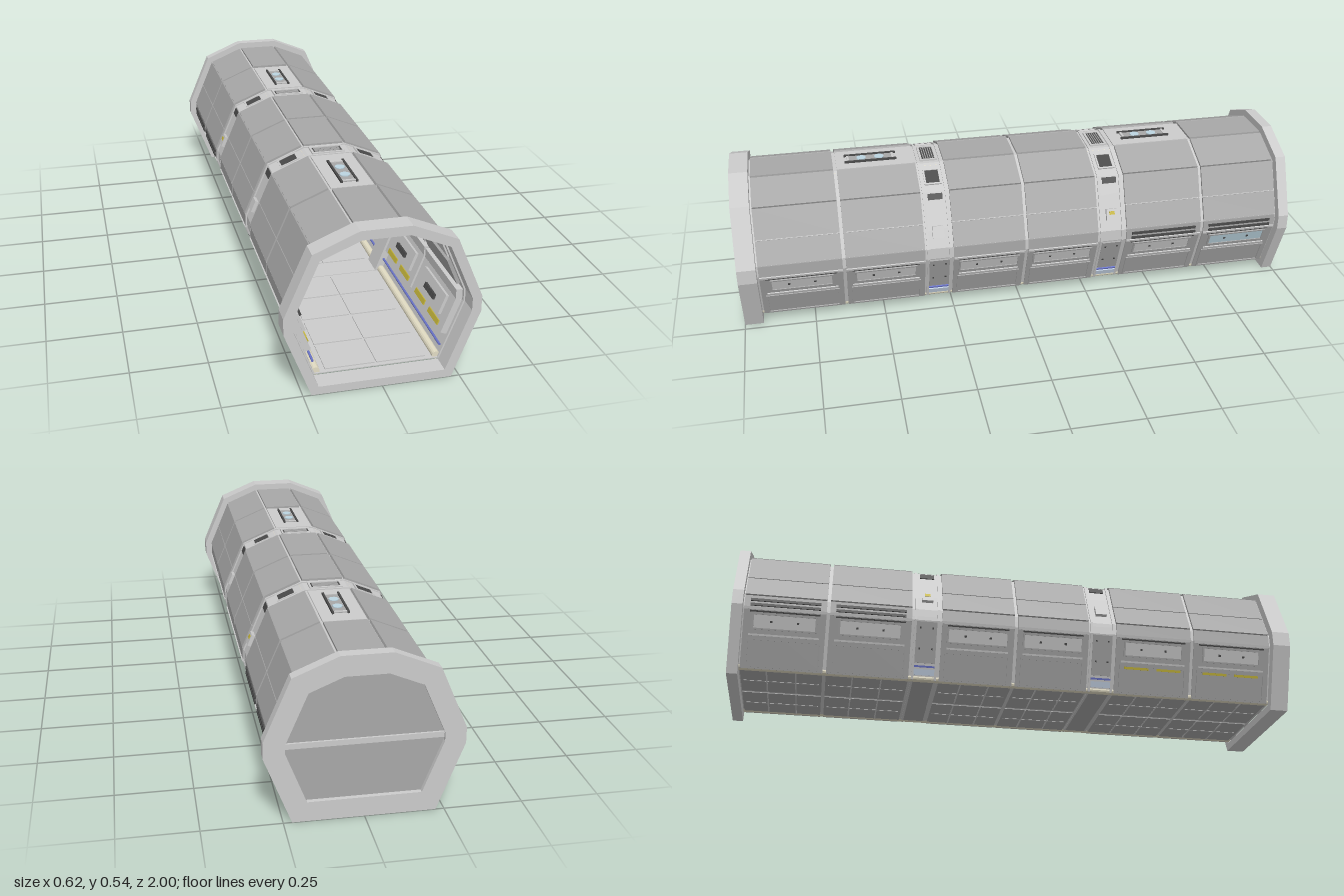
import * as THREE from 'three';

const mat = (color) => new THREE.MeshStandardMaterial({ color, flatShading: true });
const M = {
  grey: mat(0xcccccc), panel: mat(0xa8a8a8), dark: mat(0x4a4a4a), cream: mat(0xe2dcc4),
  blue: mat(0x6a74c8), yellow: mat(0xc8b83c), glass: mat(0xbcd4e0), steel: mat(0xc2d0e2),
};

// Cross-section of the end collars, counter-clockwise from the bottom right
const half = [[0.223, 0], [0.309, 0.222], [0.309, 0.275], [0.223, 0.476], [0.08, 0.536]];
const P = [...half, ...half.map(([x, y]) => [-x, y]).reverse()].map(([x, y]) => new THREE.Vector2(x, y));
const N = P.length;

// Section moved inwards by d, with its floor at height `floor`
function section(d, floor) {
  const lines = P.map((a, i) => {
    const dir = P[(i + 1) % N].clone().sub(a).normalize();
    const inward = new THREE.Vector2(-dir.y, dir.x);
    return { p: a.clone().addScaledVector(inward, i === N - 1 ? floor : d), dir };
  });
  return lines.map((l, i) => {
    const k = lines[(i + N - 1) % N];
    const t = l.p.clone().sub(k.p).cross(l.dir) / k.dir.cross(l.dir);
    return k.p.clone().addScaledVector(k.dir, t);
  });
}

export function createModel() {
  const root = new THREE.Group();
  let parent = root;

  function add(name, geo, m) {
    const mesh = new THREE.Mesh(geo, m);
    mesh.name = name;
    parent.add(mesh);
    return mesh;
  }
  function group(name) {
    parent = new THREE.Group();
    parent.name = name;
    root.add(parent);
  }
  function box(name, m, x, y, z, w, h, l) {
    return add(name, new THREE.BoxGeometry(w, h, l), m).position.set(x, y, z);
  }
  // Hollow or solid prism along z
  function prism(name, m, outer, inner, z0, z1) {
    const s = new THREE.Shape(outer);
    if (inner) s.holes.push(new THREE.Path(inner));
    const g = new THREE.ExtrudeGeometry(s, { depth: z1 - z0, bevelEnabled: false });
    return add(name, g.translate(0, 0, z0), m);
  }
  // Slab on one face of the section, from depth d0 to d1, t0..t1 along the face
  function slab(name, m, e, d0, d1, t0, t1, z0, z1) {
    const s = section(d0, 0.03), a = s[e], b = s[(e + 1) % N];
    const dir = b.clone().sub(a), len = dir.length();
    const c = a.clone().lerp(b, (t0 + t1) / 2);
    dir.normalize();
    c.addScaledVector(new THREE.Vector2(-dir.y, dir.x), (d1 - d0) / 2);
    const mesh = add(name, new THREE.BoxGeometry(len * (t1 - t0), d1 - d0, Math.abs(z1 - z0)), m);
    mesh.position.set(c.x, c.y, (z0 + z1) / 2);
    mesh.rotation.z = Math.atan2(dir.y, dir.x);
    return mesh;
  }
  // Same slab on both sides
  function pair(name, m, e, d0, d1, t0, t1, z0, z1) {
    slab(name, m, e, d0, d1, t0, t1, z0, z1);
    slab(name, m, 8 - e, d0, d1, 1 - t1, 1 - t0, z0, z1);
  }
  // Rectangular rim on a face, both sides
  function rim(name, m, e, d0, d1, t0, t1, z0, z1, wt, wz) {
    pair(name, m, e, d0, d1, t0, t0 + wt, z0, z1);
    pair(name, m, e, d0, d1, t1 - wt, t1, z0, z1);
    pair(name, m, e, d0, d1, t0 + wt, t1 - wt, z0, z0 + wz);
    pair(name, m, e, d0, d1, t0 + wt, t1 - wt, z1 - wz, z1);
  }

  // Shell and end collars
  group('shell');
  prism('hullShell', M.grey, section(0.03, 0.033), section(0.035, 0.036), -0.97, 0.94);
  prism('frontCollar', M.grey, P, section(0.03, 0.027), 0.935, 1);
  prism('backCollar', M.grey, P, section(0.066, 0.065), -1, -0.963);

  // Closed back bulkhead with cross bars
  group('backDoor');
  prism('doorPanel', M.panel, section(0.064, 0.063), null, -0.985, -0.975);
  box('doorCrossBar', M.grey, 0, 0.253, -0.98, 0.486, 0.018, 0.024);
  box('doorCentreBar', M.grey, 0, 0.267, -0.97, 0.011, 0.406, 0.01);

  const bays = [[0.635, 0.935], [0.345, 0.635], [-0.015, 0.255], [-0.285, -0.015], [-0.675, -0.38], [-0.965, -0.675]];
  bays.forEach(([b0, b1], k) => {
    const z0 = b0 + 0.006, z1 = b1 - 0.006, zc = (z0 + z1) / 2;

    // Outer cladding
    group('outerBay');
    pair('upperSidePanel', M.panel, 2, 0.022, 0.031, 0.02, 0.44, z0, z1);
    pair('upperSidePanel', M.panel, 2, 0.022, 0.031, 0.455, 0.985, z0, z1);
    pair('roofSlopePanel', M.panel, 3, 0.022, 0.031, 0.015, 0.965, z0, z1);
    const hatch = k === 1 || k === 4;
    slab('roofPanel', hatch ? M.grey : M.panel, 4, hatch ? 0.026 : 0.022, 0.031, 0.03, 0.97, z0, z1);
    pair('waistPanel', M.panel, 1, 0.025, 0.031, 0, 1, z0, z1);
    pair('lowerSidePanel', M.panel, 0, 0.026, 0.031, 0, 1, z0, z1);
    pair('waistRail', M.grey, 0, 0.021, 0.027, 0.955, 1, z0, z1);
    pair('waistShadowStrip', M.dark, 0, 0.024, 0.027, 0.92, 0.945, z0 + 0.02, z1 - 0.02);
    pair('lowerRail', M.grey, 0, 0.022, 0.027, 0.53, 0.56, z0 + 0.02, z1 - 0.02);
    rim('lowerPanelRim', M.panel, 0, 0.022, 0.027, 0.02, 0.49, z0 + 0.015, z1 - 0.015, 0.03, 0.006);
    // Service window with two bolts
    rim('windowRim', M.panel, 0, 0.021, 0.027, 0.63, 0.9, zc - 0.11, zc + 0.11, 0.025, 0.006);
    slab('window', k === 5 ? M.glass : M.grey, 0, 0.024, 0.027, 0.655, 0.875, zc - 0.104, zc + 0.104);
    slab('window', M.grey, 8, 0.024, 0.027, 0.125, 0.345, zc - 0.104, zc + 0.104);
    for (const s of [-1, 1]) pair('windowBolt', M.dark, 0, 0.022, 0.025, 0.75, 0.785, zc + s * 0.045 - 0.004, zc + s * 0.045 + 0.004);
    // Louvres on the rear bays, yellow strips on the right-hand front bays
    if (k > 3) for (const t of [0.1, 0.5]) pair('louvre', M.dark, 1, 0.02, 0.026, t, t + 0.2, z0 + 0.02, z1 - 0.02);
    if (k < 2) for (const s of [-1, 1]) slab('outerYellowStrip', M.yellow, 8, 0.023, 0.027, 0.52, 0.58, zc + s * 0.06 - 0.045, zc + s * 0.06 + 0.045);

    // Underside plates
    group('undersideBay');
    for (const s of [-1, 1]) {
      box('bellyPlate', M.panel, s * 0.102, 0.033, zc, 0.19, 0.005, z1 - z0);
      for (const q of [-1, 1]) box('bellyRib', M.grey, s * 0.102, 0.0305, zc + q * 0.05, 0.18, 0.002, 0.005);
      box('bellyRib', M.grey, s * 0.102, 0.0305, zc, 0.005, 0.002, z1 - z0 - 0.02);
    }

    // Interior lining
    group('innerBay');
    pair('innerUpperPanel', M.panel, 2, 0.034, 0.046, 0.08, 0.55, z0 + 0.01, z1 - 0.01);
    pair('innerUpperPanel', M.grey, 2, 0.034, 0.04, 0.6, 0.9, z0 + 0.01, z1 - 0.01);
    pair('ceilingSidePanel', M.panel, 3, 0.034, 0.042, 0.2, 0.75, z0 + 0.01, z1 - 0.01);
    slab('ceilingStrip', M.dark, 4, 0.034, 0.039, 0.33, 0.67, z0 + 0.02, z1 - 0.02);
    pair('innerLedge', M.grey, 1, 0.034, 0.056, 0, 0.9, z0, z1);
    pair('innerLowerWall', M.grey, 0, 0.034, 0.056, 0.4, 0.98, z0, z1);
    pair('wallLocker', M.grey, 0, 0.055, 0.066, 0.62, 0.93, zc - 0.1, zc + 0.1);
    for (let i = -2; i <= 2; i++) pair('lockerGrip', M.dark, 0, 0.065, 0.074, 0.72, 0.8, zc + i * 0.018 - 0.007, zc + i * 0.018 + 0.007);
    for (const s of [-1, 1]) pair('yellowLight', M.yellow, 0, 0.055, 0.06, 0.46, 0.54, zc + s * 0.065 - 0.045, zc + s * 0.065 + 0.045);
    for (const s of [-1, 1]) for (const q of [-1, 1])
      box('floorTile', M.grey, s * 0.083, 0.0375, zc + q * (z1 - z0) / 4, 0.16, 0.004, (z1 - z0) / 2 - 0.006);
  });

  // Ring ribs between the cladding groups
  [0.3, -0.3325].forEach((zc) => {
    const r = 0.043;
    group('ringRib');
    prism('innerRib', M.grey, section(0.034, 0.035), section(0.06, 0.038), zc - r, zc + r);
    for (const s of [-1, 1]) prism('ribLip', M.grey, section(0.026, 0.031), section(0.031, 0.034), zc + s * 0.04 - 0.004, zc + s * 0.04 + 0.004);
    // Vents across the top
    slab('topVent', M.dark, 4, 0.027, 0.031, 0.16, 0.84, zc - 0.022, zc + 0.022);
    for (const s of [-1, 1]) {
      slab('topVentRim', M.grey, 4, 0.024, 0.031, 0.12, 0.88, zc + s * 0.027 - 0.004, zc + s * 0.027 + 0.004);
      slab('topVentRim', M.grey, 4, 0.024, 0.031, 0.5 + s * 0.36 - 0.025, 0.5 + s * 0.36 + 0.025, zc - 0.025, zc + 0.025);
    }
    for (let i = -2; i <= 2; i++) slab('topVentSlat', M.panel, 4, 0.025, 0.029, 0.2, 0.8, zc + i * 0.008 - 0.0015, zc + i * 0.008 + 0.0015);
    pair('slopeVent', M.dark, 3, 0.027, 0.031, 0.3, 0.72, zc - 0.024, zc + 0.024);
    rim('slopeVentRim', M.grey, 3, 0.025, 0.031, 0.25, 0.77, zc - 0.03, zc + 0.03, 0.05, 0.006);
    // Junction box, lower cover and pipe couplings on the sides
    pair('junctionBox', M.grey, 2, 0.018, 0.031, 0.2, 0.4, zc - 0.02, zc + 0.02);
    pair('sideVent', M.dark, 2, 0.027, 0.031, 0.86, 0.97, zc - 0.026, zc + 0.026);
    if (zc < 0) pair('statusLight', M.yellow, 2, 0.016, 0.019, 0.3, 0.36, zc - 0.01, zc + 0.01);
    pair('lowerCover', M.panel, 0, 0.024, 0.031, 0.28, 0.97, zc - 0.036, zc + 0.036);
    for (const t of [0.5, 0.85]) for (const s of [-1, 1]) pair('coverBolt', M.dark, 0, 0.022, 0.025, t, t + 0.03, zc + s * 0.022 - 0.003, zc + s * 0.022 + 0.003);
    pair('pipeCoupling', M.steel, 0, 0.025, 0.031, 0.08, 0.18, zc - 0.036, zc + 0.036);
    pair('blueLine', M.blue, 0, 0.025, 0.031, 0.21, 0.24, zc - 0.036, zc + 0.036);
    box('bellyBeam', M.panel, 0, 0.033, zc, 0.4, 0.004, 0.074);
  });

  // Roof lamps
  [0.505, -0.52].forEach((zc) => {
    group('roofLamp');
    box('lampBed', M.panel, 0, 0.511, zc, 0.045, 0.003, 0.17);
    for (const s of [-1, 1]) {
      box('lampRail', M.dark, s * 0.026, 0.513, zc, 0.007, 0.008, 0.185);
      box('lampEnd', M.grey, 0, 0.512, zc + s * 0.08, 0.045, 0.006, 0.008);
      add('lampLens', new THREE.CylinderGeometry(0.017, 0.017, 0.005, 20), M.glass).position.set(0, 0.513, zc + s * 0.032);
    }
  });

  // Pipes along the inside corners
  group('pipes');
  const pipes = [[0.195, 0.041, 0.013, M.cream], [0.08, 0.49, 0.0125, M.cream], [0.195, 0.441, 0.0065, M.cream], [0.205, 0.079, 0.004, M.blue]];
  for (const [x, y, r, m] of pipes) for (const s of [-1, 1]) {
    const g = new THREE.CylinderGeometry(r, r, 1.9, 14).rotateX(Math.PI / 2);
    add('pipe', g, m).position.set(s * x, y, -0.015);
  }
  return root;
}
